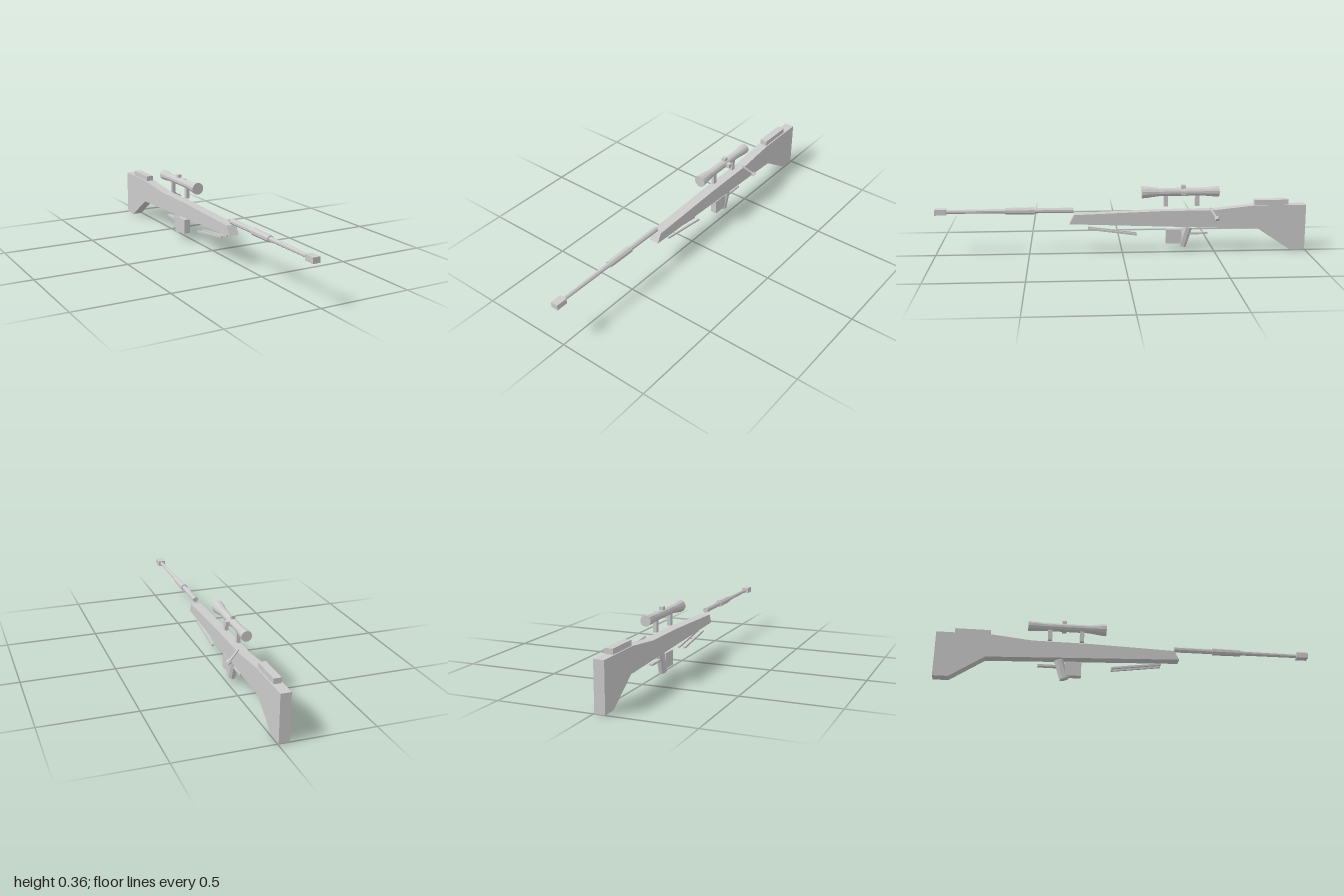
import * as THREE from 'three';

const CX = -0.032; // centre plane of the body
const material = new THREE.MeshStandardMaterial({ color: 0xcccccc, flatShading: true });

export function createModel() {
  const model = new THREE.Group();

  const add = (name, geometry, x = CX, y = 0, z = 0) => {
    const mesh = new THREE.Mesh(geometry, material);
    mesh.name = name;
    mesh.position.set(x, y, z);
    model.add(mesh);
    return mesh;
  };
  const box = (name, w, h, d, x, y, z) => add(name, new THREE.BoxGeometry(w, h, d), x, y, z);

  // Faceted solid of revolution along z, profile given as [radius, z] with rising z
  const turned = (name, profile, sides, y) => {
    const points = profile.map(([r, z]) => new THREE.Vector2(r, z));
    const geometry = new THREE.LatheGeometry(points, sides);
    geometry.rotateY(Math.PI / sides).rotateX(Math.PI / 2);
    return add(name, geometry, CX, y, 0);
  };

  // Places a y-aligned geometry of unit height between two points
  const span = (name, geometry, a, b) => {
    const from = new THREE.Vector3(...a), to = new THREE.Vector3(...b);
    const dir = to.clone().sub(from);
    const mid = from.clone().add(to).multiplyScalar(0.5);
    const mesh = add(name, geometry, mid.x, mid.y, mid.z);
    mesh.scale.y = dir.length();
    mesh.quaternion.setFromUnitVectors(new THREE.Vector3(0, 1, 0), dir.normalize());
    return mesh;
  };

  // Stock: side outline in (z, y), extruded across x
  const outline = [
    [0.283, 0.16], [0.257, 0.21], [-0.2, 0.225], [-0.5, 0.227], [-0.72, 0.25],
    [-1, 0.25], [-1, 0], [-0.92, 0], [-0.74, 0.12],
  ].map(([z, y]) => new THREE.Vector2(z, y));
  const stock = new THREE.ExtrudeGeometry(new THREE.Shape(outline), { depth: 0.054, bevelEnabled: false });
  stock.translate(0, 0, -0.027).rotateY(-Math.PI / 2);
  add('stock', stock);
  box('cheekRest', 0.04, 0.036, 0.185, CX, 0.26, -0.812);

  // Barrel, sleeve and muzzle
  turned('barrel', [[0, 0.262], [0.015, 0.262], [0.010, 0.95], [0, 0.95]], 8, 0.231);
  turned('barrelSleeve', [[0, 0.47], [0.02, 0.47], [0.018, 0.625], [0, 0.625]], 8, 0.231);
  box('muzzle', 0.04, 0.03, 0.062, CX, 0.231, 0.969);

  // Scope with flared ends
  turned('scope', [
    [0, -0.525], [0.028, -0.525], [0.027, -0.495], [0.022, -0.44],
    [0.022, -0.20], [0.031, -0.135], [0.033, -0.107], [0, -0.107],
  ], 12, 0.325);
  box('topTurret', 0.021, 0.03, 0.024, CX, 0.347, -0.332);
  box('sideTurret', 0.03, 0.023, 0.024, -0.007, 0.323, -0.332);
  for (const z of [-0.237, -0.407]) box('scopeMount', 0.019, 0.065, 0.023, CX, 0.279, z);

  // Bolt handle and knob
  const boltEnd = [0.051, 0.194, -0.505];
  span('boltHandle', new THREE.CylinderGeometry(0.006, 0.006, 1, 6), [-0.008, 0.238, -0.475], boltEnd);
  const knob = add('boltKnob', new THREE.CylinderGeometry(0.012, 0.012, 0.02, 6), ...boltEnd);
  knob.rotation.z = 0.9;

  // Magazine, slanted grip and trigger bar
  box('magazine', 0.035, 0.08, 0.085, CX, 0.081, -0.281);
  const grip = new THREE.CylinderGeometry(0.5, 0.5, 1, 8);
  grip.rotateY(Math.PI / 8).scale(0.042, 1, 0.052);
  span('grip', grip, [CX, 0.025, -0.325], [CX, 0.131, -0.357]);
  box('triggerBar', 0.02, 0.011, 0.105, CX, 0.095, -0.415);

  // Folded bipod legs
  for (const side of [-1, 1]) {
    const x = CX + side * 0.016;
    span('bipodLeg', new THREE.BoxGeometry(0.01, 1, 0.01), [x, 0.131, 0.184], [x, 0.095, -0.08]);
  }

  return model;
}
